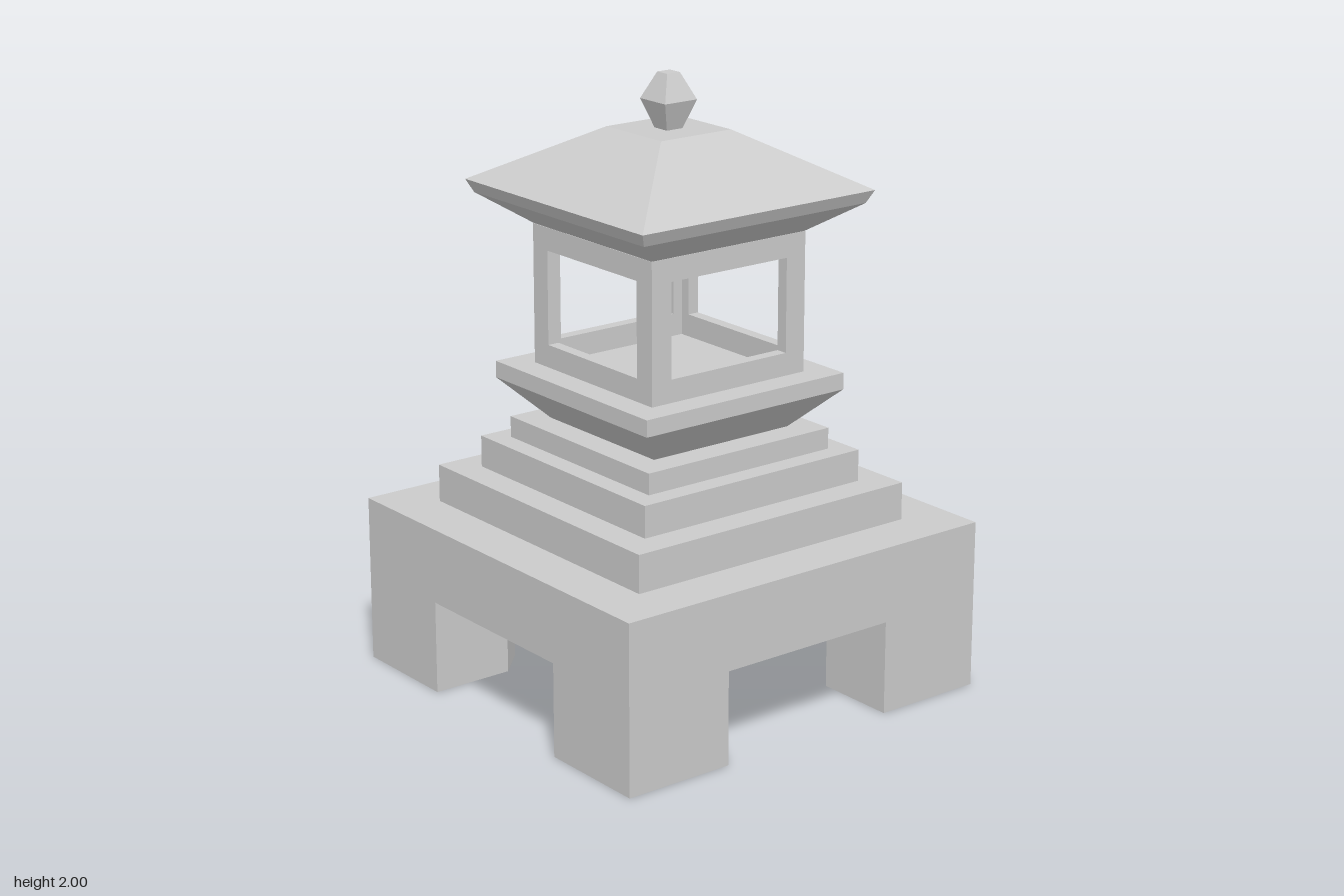
import * as THREE from 'three';

const material = new THREE.MeshStandardMaterial({
  color: 0xcccccc, flatShading: true, side: THREE.DoubleSide,
});

function mesh(name, geometry) {
  const m = new THREE.Mesh(geometry, material);
  m.name = name;
  return m;
}

// Square-plan solid from a profile of [half width, height], bottom to top
function squareLoft(name, profile) {
  const points = profile.map(([r, y]) => new THREE.Vector2(r * Math.SQRT2, y));
  return mesh(name, new THREE.LatheGeometry(points, 4, Math.PI / 4));
}

function polygon(points) {
  return new THREE.Shape(points.map(([x, y]) => new THREE.Vector2(x, y)));
}

// Upright panel standing on y = 0 between two plan points [x, z]
function wall(name, [x1, z1], [x2, z2], height) {
  const g = new THREE.PlaneGeometry(Math.hypot(x2 - x1, z2 - z1), height);
  g.rotateY(-Math.atan2(z2 - z1, x2 - x1));
  g.translate((x1 + x2) / 2, height / 2, (z1 + z2) / 2);
  return mesh(name, g);
}

// One side of the hollow base: arched face, arch soffit, leg walls, inner corner
function baseSide() {
  const W = 0.7, top = 0.56, arch = 0.31, gap = 0.32, inner = 0.42;
  const side = new THREE.Group();
  side.name = 'baseSide';
  const face = new THREE.ShapeGeometry(polygon([
    [-W, 0], [-gap, 0], [-gap, arch], [gap, arch], [gap, 0], [W, 0], [W, top], [-W, top],
  ]));
  face.translate(0, 0, W);
  const soffit = new THREE.PlaneGeometry(2 * gap, W - inner);
  soffit.rotateX(Math.PI / 2);
  soffit.translate(0, arch, (W + inner) / 2);
  side.add(
    mesh('archedFace', face),
    mesh('archSoffit', soffit),
    wall('legWallLeft', [gap, inner], [gap, W], arch),
    wall('legWallRight', [-gap, W], [-gap, inner], arch),
    wall('legInnerCorner', [inner, gap], [gap, inner], arch),
  );
  return side;
}

// Window frame of the lantern chamber
function windowFrame(halfWidth) {
  const bottom = 1.045, top = 1.505, depth = 0.04;
  const shape = polygon([
    [-halfWidth, bottom], [halfWidth, bottom], [halfWidth, top], [-halfWidth, top],
  ]);
  shape.holes.push(polygon([[-0.23, 1.12], [-0.23, 1.43], [0.23, 1.43], [0.23, 1.12]]));
  const g = new THREE.ExtrudeGeometry(shape, { depth, bevelEnabled: false });
  g.translate(0, 0, 0.305 - depth);
  return mesh('windowFrame', g);
}

export function createModel() {
  const model = new THREE.Group();
  model.name = 'stoneLantern';

  for (let i = 0; i < 4; i++) {
    const side = baseSide();
    const frame = windowFrame(i % 2 ? 0.265 : 0.305);
    side.rotation.y = frame.rotation.y = i * Math.PI / 2;
    model.add(side, frame);
  }

  // Hollow stepped plinth, flared neck and chamber floor
  model.add(squareLoft('steppedPlinth', [
    [0.7, 0.56], [0.532, 0.56],
    [0.532, 0.685], [0.432, 0.685],
    [0.432, 0.79], [0.363, 0.79],
    [0.363, 0.86], [0.27, 0.86],
    [0.395, 0.99], [0.395, 1.045], [0, 1.045],
  ]));

  // Hipped roof with flared eaves
  model.add(squareLoft('roof', [
    [0, 1.505], [0.303, 1.505], [0.437, 1.6], [0.457, 1.642], [0.138, 1.823], [0, 1.823],
  ]));

  model.add(squareLoft('finial', [
    [0, 1.82], [0.03, 1.82], [0.063, 1.915], [0.025, 2], [0, 2],
  ]));

  return model;
}
